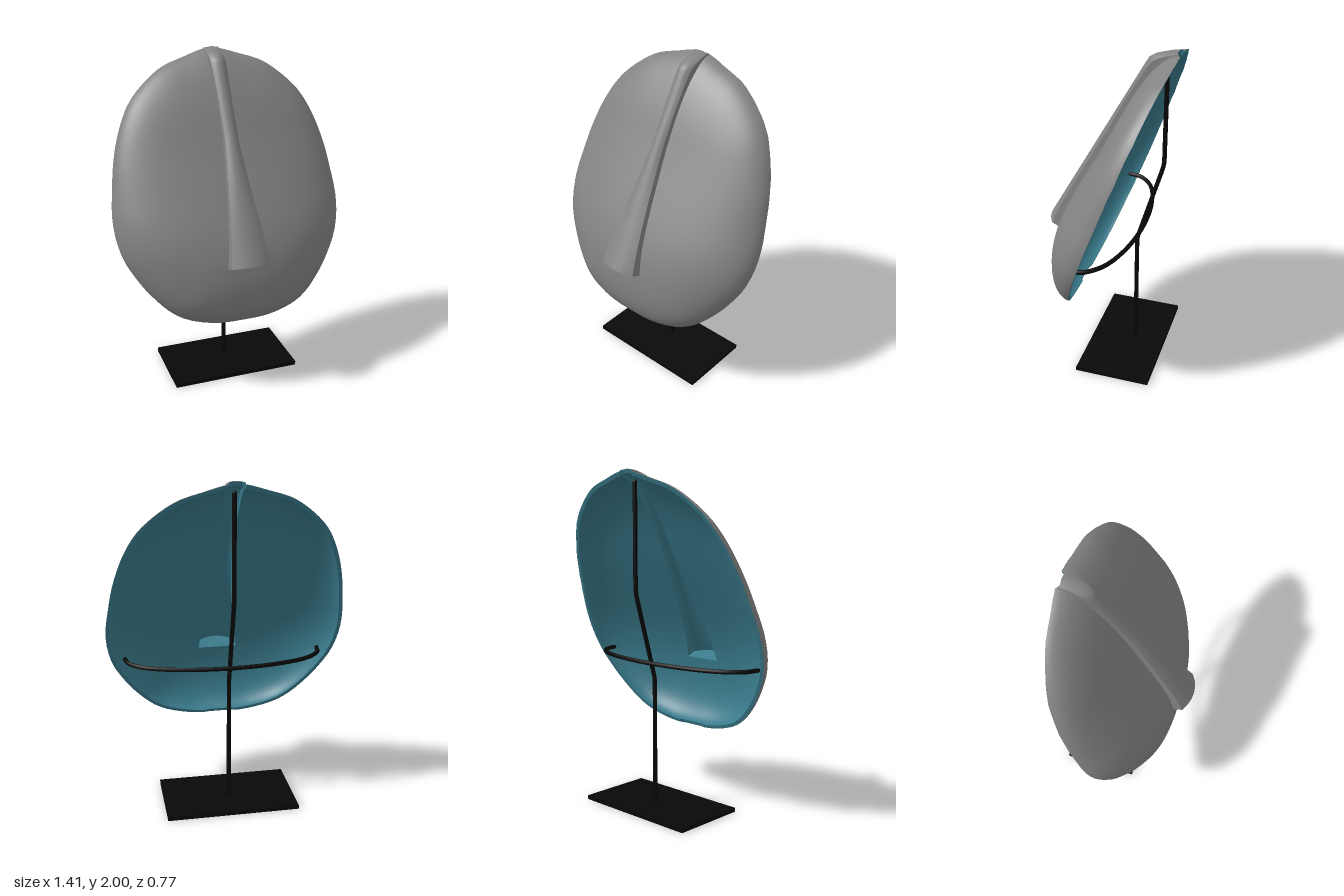
import * as THREE from 'three';
import { toCreasedNormals } from 'three/addons/utils/BufferGeometryUtils.js';

const MID = 1.15, BOTTOM = 0.451, TOP = 1.985, NOSE_END = 0.855, FACE_COLS = 14;
const { lerp, smoothstep } = THREE.MathUtils;

// Half outline of the mask, from chin to crown
const outline = new THREE.CatmullRomCurve3([
  [0, 0.45], [0.1, 0.451], [0.2, 0.462], [0.34, 0.502], [0.43, 0.555], [0.55, 0.68], [0.63, 0.8],
  [0.67, 0.88], [0.7, 1.0], [0.705, 1.12], [0.69, 1.24], [0.655, 1.43], [0.59, 1.615],
  [0.505, 1.75], [0.325, 1.895], [0.17, 1.95], [0.048, 1.985], [0, 1.986],
].map(([x, y]) => new THREE.Vector3(x, y, 0))).getPoints(240);

// Linear lookup of a value along the outline by a rising key
function lookup(key, value, k) {
  let i = 1;
  while (i < outline.length - 1 && key(outline[i]) < k) i++;
  const a = outline[i - 1], b = outline[i];
  const t = (k - key(a)) / (key(b) - key(a) || 1);
  return lerp(value(a), value(b), Math.min(1, Math.max(0, t)));
}
const angle = (p) => Math.atan2(Math.abs(p.x), MID - p.y);
const radius = (p) => Math.hypot(p.x, p.y - MID);
const halfWidth = (y) => lookup((p) => p.y, (p) => p.x, y);

// Sloping rim plane and the depth of the dome in front of it, blunter towards the crown
const rimZ = (y) => 0.17 - (y - 0.45) * 0.365;
function domeDepth(x, y) {
  const p = { x, y };
  const s = Math.min(1, radius(p) / lookup(angle, radius, angle(p)));
  const height = 0.29 - 0.085 * smoothstep(y, 0.85, 1.6);
  const power = lerp(0.6, 0.42, smoothstep(y, 0.75, 1.7));
  return height * (1 - s ** 2.5) ** power;
}

// Nose: half width and height over the face
function noseWidth(y) {
  if (y > 1.55) return 0.04 + 0.006 * smoothstep(y, 1.75, 1.98);
  const t = Math.max(0, Math.min(1, (1.55 - y) / (1.55 - NOSE_END)));
  return 0.04 + 0.08 * t ** 1.25;
}
function noseHeight(y) {
  if (y < NOSE_END) return 0;
  const ridge = 0.387 - (y - 0.886) * 0.558;
  const h = (ridge - rimZ(y) - domeDepth(0, y)) / 1.22;
  return Math.max(0.015, Math.min(h, 0.019 + (TOP - y)));
}

// One cross-section from -x rim to +x rim; the inner skin is a slightly smaller copy
function crossSection(y, inner) {
  const W = halfWidth(y), w = Math.min(noseWidth(y), W * 0.95);
  const base = Math.min(w + 0.003, W * 0.99), h = noseHeight(y);
  const half = [];
  for (let j = 0; j <= FACE_COLS; j++) {
    half.push([base + (W - base) * Math.cos((Math.PI / 2) * (j / FACE_COLS)), 0]);
  }
  for (const k of [1, 0.66, 0.33]) half.push([w * k, h * (1 - 0.4 * k * k)]);
  const row = [...half, [0, h], ...half.slice().reverse().map(([x, lift]) => [-x, lift])];
  // The nose rises square to the face, then straight up where it rolls over the crown
  const roll = smoothstep(y, 1.92, TOP);
  return row.map(([x, lift]) => {
    const depth = domeDepth(x, y) * (inner ? 0.9 : 1);
    const px = -x * (inner ? 0.968 : 1);
    const py = inner ? MID + (y - MID) * 0.972 : y;
    return new THREE.Vector3(px, py + lerp(0.4, 0.8, roll) * lift, rimZ(py) + depth + lift * (1 - roll));
  });
}

// Quads between consecutive rows of points
function skin(rows, flip) {
  const pos = [];
  for (let i = 0; i < rows.length - 1; i++) {
    for (let j = 0; j < rows[i].length - 1; j++) {
      const a = rows[i][j], b = rows[i][j + 1], c = rows[i + 1][j + 1], d = rows[i + 1][j];
      for (const p of flip ? [a, c, b, a, d, c] : [a, b, c, a, c, d]) pos.push(p.x, p.y, p.z);
    }
  }
  const g = new THREE.BufferGeometry();
  g.setAttribute('position', new THREE.Float32BufferAttribute(pos, 3));
  return toCreasedNormals(g, 0.6);
}

// Closed border of a grid of points, anticlockwise from the front
function border(rows) {
  const n = rows[0].length - 1, last = rows.length - 1;
  return [...rows[0], ...rows.slice(1).map((r) => r[n]),
    ...rows[last].slice(0, n).reverse(), ...rows.slice(0, last).reverse().map((r) => r[0])];
}

export function createModel() {
  const model = new THREE.Group();
  const grey = new THREE.MeshStandardMaterial({ color: 0x838383 });
  const teal = new THREE.MeshStandardMaterial({ color: 0x397a8b });
  const black = new THREE.MeshStandardMaterial({ color: 0x080808 });
  const add = (parent, name, geometry, material) => {
    const mesh = new THREE.Mesh(geometry, material);
    mesh.name = name;
    parent.add(mesh);
    return mesh;
  };

  // Row heights, crowded at chin and crown, with a step under the nose
  const heights = [];
  for (let i = 0; i <= 16; i++) heights.push(BOTTOM + 0.4 * (1 - Math.cos((Math.PI / 2) * (i / 16))));
  for (let i = 0; i <= 34; i++) {
    heights.push(NOSE_END + (TOP - NOSE_END) * Math.sin((Math.PI / 2) * (i / 34)));
  }

  // Mask: face with nose, hollow inside and the rim joining them
  const mask = new THREE.Group();
  mask.name = 'mask';
  model.add(mask);
  const outer = heights.map((y) => crossSection(y, false));
  const inner = heights.map((y) => crossSection(y, true));
  add(mask, 'face', skin(outer, false), grey);
  add(mask, 'inside', skin(inner, true), teal);
  add(mask, 'rim', skin([border(outer), border(inner)], true), teal);

  // Stand: plate, bent post and curved crossbar
  const stand = new THREE.Group();
  stand.name = 'stand';
  model.add(stand);
  add(stand, 'basePlate', new THREE.BoxGeometry(0.8, 0.025, 0.46), black).position.set(0, 0.0125, -0.12);

  const rod = (name, points, tension) => {
    const pts = points.map((p) => new THREE.Vector3(...p));
    const curve = new THREE.CatmullRomCurve3(pts, false, 'catmullrom', tension);
    add(stand, name, new THREE.TubeGeometry(curve, 64, 0.013, 10), black);
    for (const end of [pts[0], pts[pts.length - 1]]) {
      add(stand, name + 'End', new THREE.SphereGeometry(0.013, 10, 6), black).position.copy(end);
    }
  };
  rod('post', [[0, 0.02, -0.16], [0, 0.78, -0.16], [0, 0.82, -0.168], [0, 1.29, -0.305],
    [0, 1.34, -0.312], [0, 1.93, -0.312]], 0.05);
  const arm = [[0.595, 0.89, 0.06], [0.57, 0.89, -0.03], [0.46, 0.89, -0.12], [0.25, 0.89, -0.18]];
  rod('crossbar', [...arm, [0, 0.89, -0.2], ...arm.slice().reverse().map(([x, y, z]) => [-x, y, z])], 0.5);

  return model;
}
